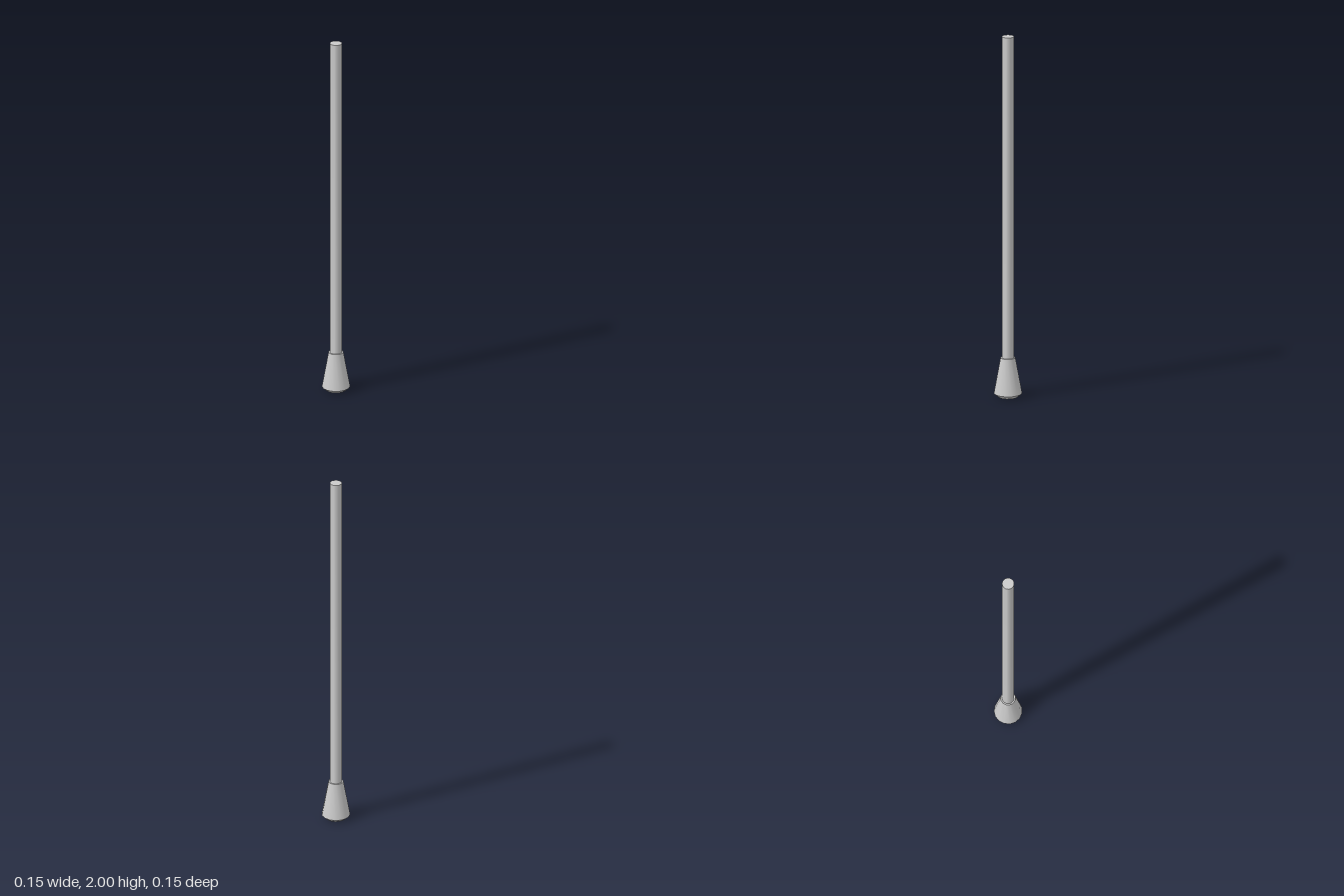
import * as THREE from 'three';
import { toCreasedNormals } from 'three/addons/utils/BufferGeometryUtils.js';

const material = new THREE.MeshStandardMaterial({ color: 0xcccccc });

// Turned part from [radius, y] points, bottom to top, with a corner on +x
function turned(name, profile, sides) {
  const points = profile.map(([r, y]) => new THREE.Vector2(r, y));
  const geometry = new THREE.LatheGeometry(points, sides, Math.PI / 2);
  const mesh = new THREE.Mesh(toCreasedNormals(geometry, 0.6), material);
  mesh.name = name;
  return mesh;
}

export function createModel() {
  const group = new THREE.Group();
  group.name = 'post';

  // Tapered foot with a bevelled underside
  group.add(turned('foot', [
    [0, 0], [0.052, 0], [0.076, 0.02], [0.04, 0.217], [0, 0.217],
  ], 15));

  // Long straight pole standing on the foot
  group.add(turned('pole', [
    [0, 0.2], [0.032, 0.2], [0.032, 2], [0, 2],
  ], 24));

  return group;
}
